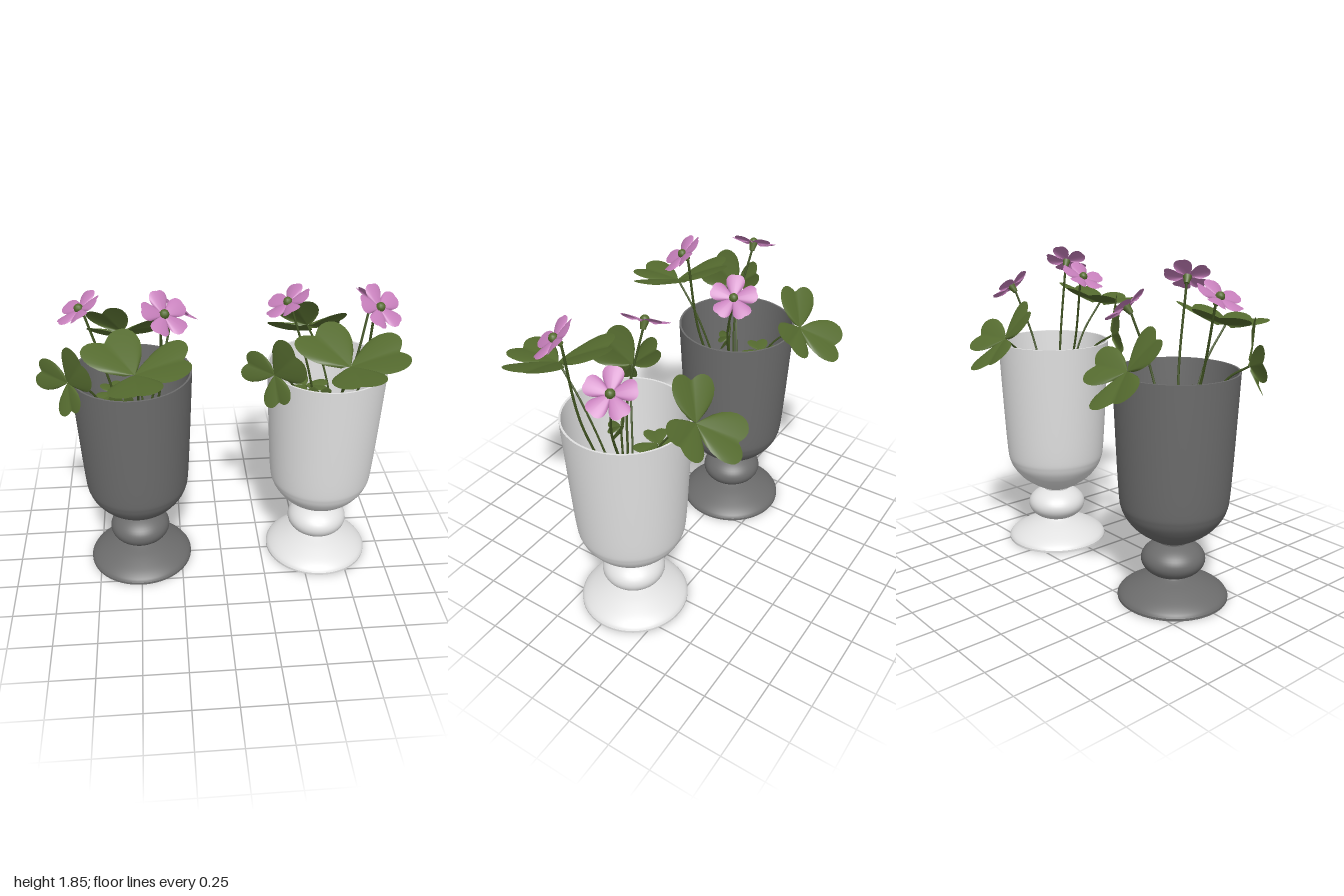
import * as THREE from 'three';

const mat = (name, color, side = THREE.FrontSide) => {
  const m = new THREE.MeshStandardMaterial({ color, side });
  m.name = name;
  return m;
};
const V = (p) => new THREE.Vector3(...p);

// Thin blade fanned out from its base: x = across, y = along, z = facing.
// "rim" lists the radius from the midrib to the side edge.
function bladeGeometry(length, halfAngle, rim, fold, droop) {
  const g = new THREE.PlaneGeometry(2, 1, 24, 8);
  const p = g.attributes.position;
  for (let i = 0; i < p.count; i++) {
    const v = p.getX(i), u = p.getY(i) + 0.5;
    const t = Math.abs(v) * (rim.length - 1);
    const k = Math.min(Math.floor(t), rim.length - 2);
    const r = length * u * THREE.MathUtils.lerp(rim[k], rim[k + 1], t - k);
    const a = v * halfAngle;
    const x = r * Math.sin(a);
    p.setXYZ(i, x, r * Math.cos(a), fold * Math.abs(x) - droop * length * u * u);
  }
  g.computeVertexNormals();
  return g;
}

// Turn a mesh so that its y axis follows dir and its z axis faces normal
function orient(mesh, at, dir, normal) {
  const y = dir.clone().normalize();
  const z = normal.clone().addScaledVector(y, -normal.dot(y)).normalize();
  const x = new THREE.Vector3().crossVectors(y, z);
  mesh.quaternion.setFromRotationMatrix(new THREE.Matrix4().makeBasis(x, y, z));
  mesh.position.copy(at);
  return mesh;
}

const LEAF_RIM = [0.88, 0.95, 1.02, 1.05, 1.05, 1.02, 0.95, 0.84, 0.68, 0.45, 0.15];
const PETAL_RIM = [0.97, 0.99, 1, 0.99, 0.96, 0.91, 0.82, 0.68, 0.45];
const ROOT = [-0.5, 0.48, -0.02];

export function createModel() {
  const root = new THREE.Group();
  root.name = 'twoPottedFlowers';
  const darkGrey = mat('darkGrey', 0x6c6c6c);
  const paleGrey = mat('paleGrey', 0xe2e2e2);
  const leafGreen = mat('leafGreen', 0x556b2f, THREE.DoubleSide);
  const stemGreen = mat('stemGreen', 0x3f5220);
  const pink = mat('petalPink', 0xc67fbb, THREE.DoubleSide);

  const add = (parent, name, geometry, material) => {
    const m = new THREE.Mesh(geometry, material);
    m.name = name;
    parent.add(m);
    return m;
  };

  // Goblet vase: separate lathes keep the edges between them sharp
  const lathe = (parent, name, pts, material, smooth = 0) => {
    let profile = pts.map(([x, y]) => new THREE.Vector2(x, y));
    if (smooth) profile = new THREE.SplineCurve(profile).getPoints(smooth);
    return add(parent, name, new THREE.LatheGeometry(profile, 64), material);
  };
  function makeVase(material) {
    const vase = new THREE.Group();
    vase.name = 'vase';
    lathe(vase, 'footUnderside', [[0, 0], [0.31, 0]], material);
    lathe(vase, 'footEdge', [[0.31, 0], [0.31, 0.014]], material);
    lathe(vase, 'foot', [[0.31, 0.014], [0.295, 0.034], [0.25, 0.062], [0.17, 0.095], [0.08, 0.123], [0.078, 0.14]], material, 24);
    const knob = add(vase, 'knob', new THREE.SphereGeometry(1, 48, 24), material);
    knob.scale.set(0.18, 0.108, 0.18);
    knob.position.y = 0.23;
    lathe(vase, 'neck', [[0.078, 0.3], [0.08, 0.34]], material);
    lathe(vase, 'bowlOutside', [[0.08, 0.335], [0.14, 0.366], [0.215, 0.42], [0.262, 0.475],
      [0.29, 0.53], [0.304, 0.61], [0.321, 0.9], [0.34, 1.3]], material, 48);
    lathe(vase, 'bowlRim', [[0.34, 1.3], [0.329, 1.3]], material);
    lathe(vase, 'bowlInside', [[0.329, 1.3], [0.31, 0.9], [0.292, 0.61], [0.275, 0.53],
      [0.24, 0.47], [0.17, 0.42], [0, 0.39]], material, 48);
    vase.position.set(-0.5, 0, -0.018);
    return vase;
  }

  // Stem from the bottom of the bowl through bend points
  const stem = (parent, pts, radius) => add(parent, 'stem',
    new THREE.TubeGeometry(new THREE.CatmullRomCurve3([ROOT, ...pts].map(V)), 28, radius, 6), stemGreen);

  // Clover leaf: three heart-shaped leaflets from a centre towards three tips
  function clover(parent, center, tips, facing, bends) {
    const leaf = new THREE.Group();
    leaf.name = 'cloverLeaf';
    const c = V(center);
    const [a, b, d] = tips.map(V);
    const n = b.clone().sub(a).cross(d.clone().sub(a)).normalize();
    if (n.dot(V(facing)) < 0) n.negate();
    for (const tip of [a, b, d]) {
      const dir = tip.clone().sub(c);
      const blade = bladeGeometry(dir.length(), 0.98, LEAF_RIM, 0.12, 0.06);
      orient(add(leaf, 'leaflet', blade, leafGreen), c, dir, n);
    }
    stem(leaf, [...bends, center], 0.006);
    parent.add(leaf);
  }

  // Five-petalled flower with a green throat and calyx
  const petal = bladeGeometry(0.132, 0.66, PETAL_RIM, -0.08, 0.12);
  function flower(parent, center, normal, bends) {
    const f = new THREE.Group();
    f.name = 'flower';
    const n = V(normal).normalize();
    const base = V(center).addScaledVector(n, -0.02);
    const side = new THREE.Vector3(0, 0, 1).cross(n).normalize();
    for (let i = 0; i < 5; i++) {
      const dir = side.clone().applyAxisAngle(n, (i + 0.25) * Math.PI * 0.4).addScaledVector(n, 0.26);
      orient(add(f, 'petal', petal, pink), base, dir, n);
    }
    const calyx = add(f, 'calyx', new THREE.CylinderGeometry(0.026, 0.014, 0.05, 10), leafGreen);
    orient(calyx, base.clone().addScaledVector(n, -0.018), n, side);
    const throat = add(f, 'throat', new THREE.SphereGeometry(0.025, 10, 8), leafGreen);
    throat.position.copy(base).addScaledVector(n, 0.008);
    const foot = base.clone().addScaledVector(n, -0.04);
    stem(f, [...bends, foot.toArray()], 0.007);
    parent.add(f);
  }

  function makePlant() {
    const plant = new THREE.Group();
    plant.name = 'plant';
    flower(plant, [-0.225, 1.63, -0.147], [0.58, 0.75, -0.3], [[-0.42, 1.0, -0.04], [-0.33, 1.3, -0.055]]);
    flower(plant, [-0.757, 1.72, 0.03], [-0.5, 0.84, 0.1], [[-0.56, 1.0, 0.03], [-0.62, 1.3, 0.06]]);
    flower(plant, [-0.3, 1.765, 0.245], [0.4, 0.7, 0.5], [[-0.4, 1.0, 0.09], [-0.34, 1.3, 0.155]]);

    // Back leaf hanging over the rim
    clover(plant, [-0.553, 1.36, -0.404],
      [[-0.67, 1.25, -0.62], [-0.33, 1.37, -0.46], [-0.665, 1.55, -0.31]], [0, 1, -1],
      [[-0.44, 0.95, -0.13], [-0.5, 1.25, -0.27]]);
    // Side leaf
    clover(plant, [-0.83, 1.35, 0.18],
      [[-0.99, 1.4, 0.12], [-0.74, 1.53, 0.31], [-0.82, 1.22, 0.29]], [-1, 0, 1],
      [[-0.6, 0.95, 0.03], [-0.73, 1.27, 0.12]]);
    // Large front leaf
    clover(plant, [-0.468, 1.49, 0.377],
      [[-0.46, 1.52, 0.635], [-0.64, 1.6, 0.15], [-0.19, 1.59, 0.37]], [0, 1, 0],
      [[-0.48, 0.95, 0.1], [-0.46, 1.3, 0.24]]);
    // Young leaves inside the bowl
    clover(plant, [-0.595, 1.1, -0.14],
      [[-0.645, 1.11, -0.25], [-0.47, 1.11, -0.115], [-0.68, 1.11, -0.06]], [0, 1, 0],
      [[-0.55, 0.85, -0.08]]);
    clover(plant, [-0.55, 1.16, 0.06],
      [[-0.63, 1.17, 0.1], [-0.49, 1.17, 0.1], [-0.56, 1.07, 0.1]], [0, 0, 1],
      [[-0.52, 0.9, 0.03]]);
    return plant;
  }

  // Two identical pots side by side
  [['darkPot', darkGrey, 0], ['palePot', paleGrey, 1.105]].forEach(([name, material, x]) => {
    const pot = new THREE.Group();
    pot.name = name;
    pot.add(makeVase(material), makePlant());
    pot.position.x = x;
    root.add(pot);
  });
  return root;
}
